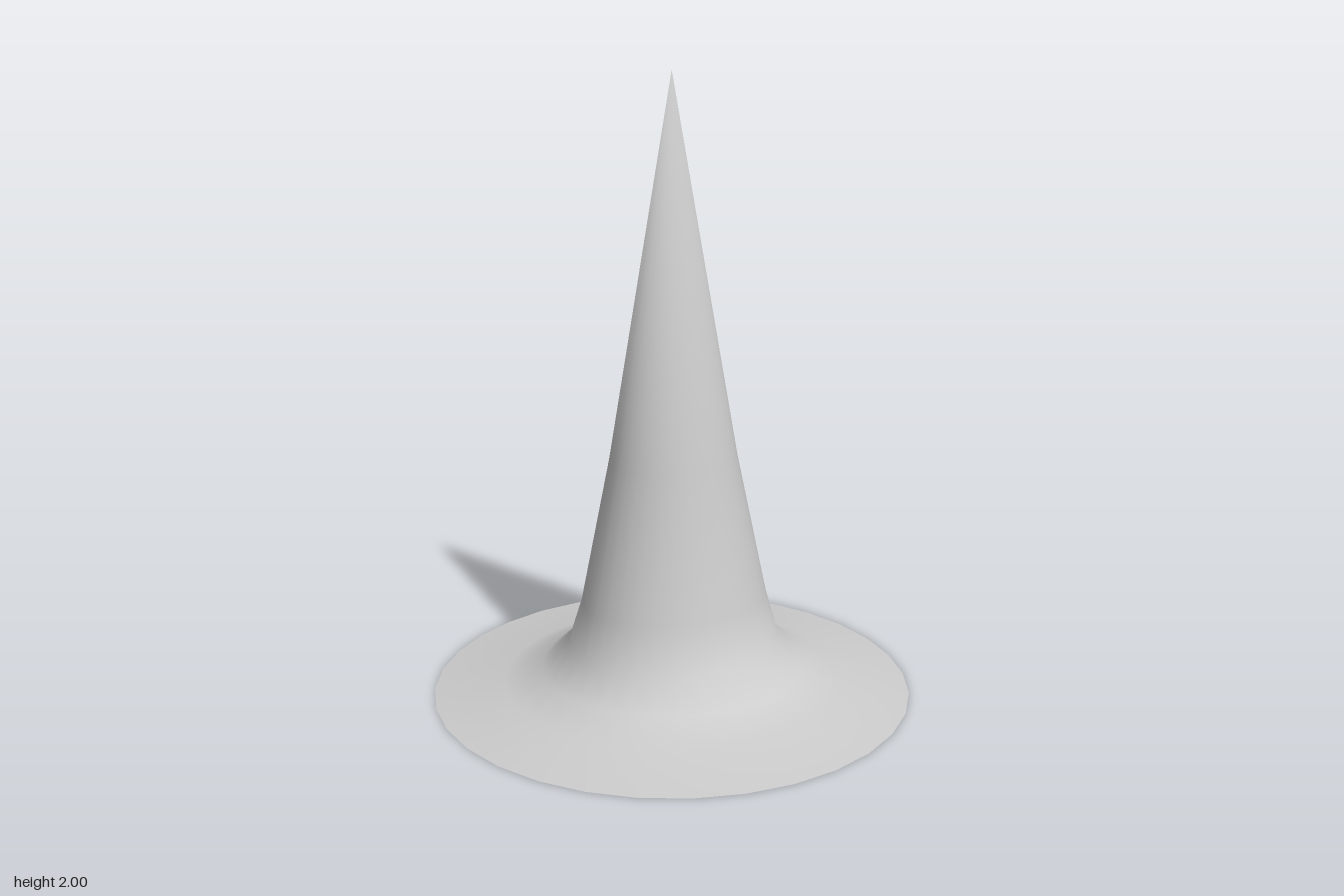
import * as THREE from 'three';
import { mergeVertices } from 'three/addons/utils/BufferGeometryUtils.js';

// Rings from brim edge to tip: height, half width in x, half depth in z, centre x, centre z
const RINGS = [
  [0, 0.785, 0.785, 0, 0],
  [0.033, 0.548, 0.562, 0.004, 0],
  [0.08, 0.42, 0.445, 0.006, -0.003],
  [0.168, 0.327, 0.357, 0.007, -0.004],
  [0.31, 0.277, 0.318, 0.006, -0.007],
  [0.78, 0.197, 0.213, 0, -0.008],
  [2, 0, 0, 0, 0],
];

export function createModel() {
  const group = new THREE.Group();
  group.name = 'pointedHat';

  // Lathe a unit tube, then fit each ring to its slightly oval section
  const lathe = new THREE.LatheGeometry(RINGS.map(r => new THREE.Vector2(1, r[0])), 32);
  const pos = lathe.attributes.position;
  for (let i = 0; i < pos.count; i++) {
    const [y, rx, rz, cx, cz] = RINGS[i % RINGS.length];
    pos.setXYZ(i, cx + pos.getX(i) * rx, y, cz + pos.getZ(i) * rz);
  }

  // Weld the seam and tip so the shading runs smoothly around
  lathe.deleteAttribute('uv');
  lathe.deleteAttribute('normal');
  const geometry = mergeVertices(lathe, 1e-4);
  geometry.computeVertexNormals();

  // Thin open shell: flared brim and cone in one surface
  const material = new THREE.MeshStandardMaterial({ color: 0xcccccc, side: THREE.DoubleSide });
  const hat = new THREE.Mesh(geometry, material);
  hat.name = 'brimAndCone';
  group.add(hat);
  return group;
}
